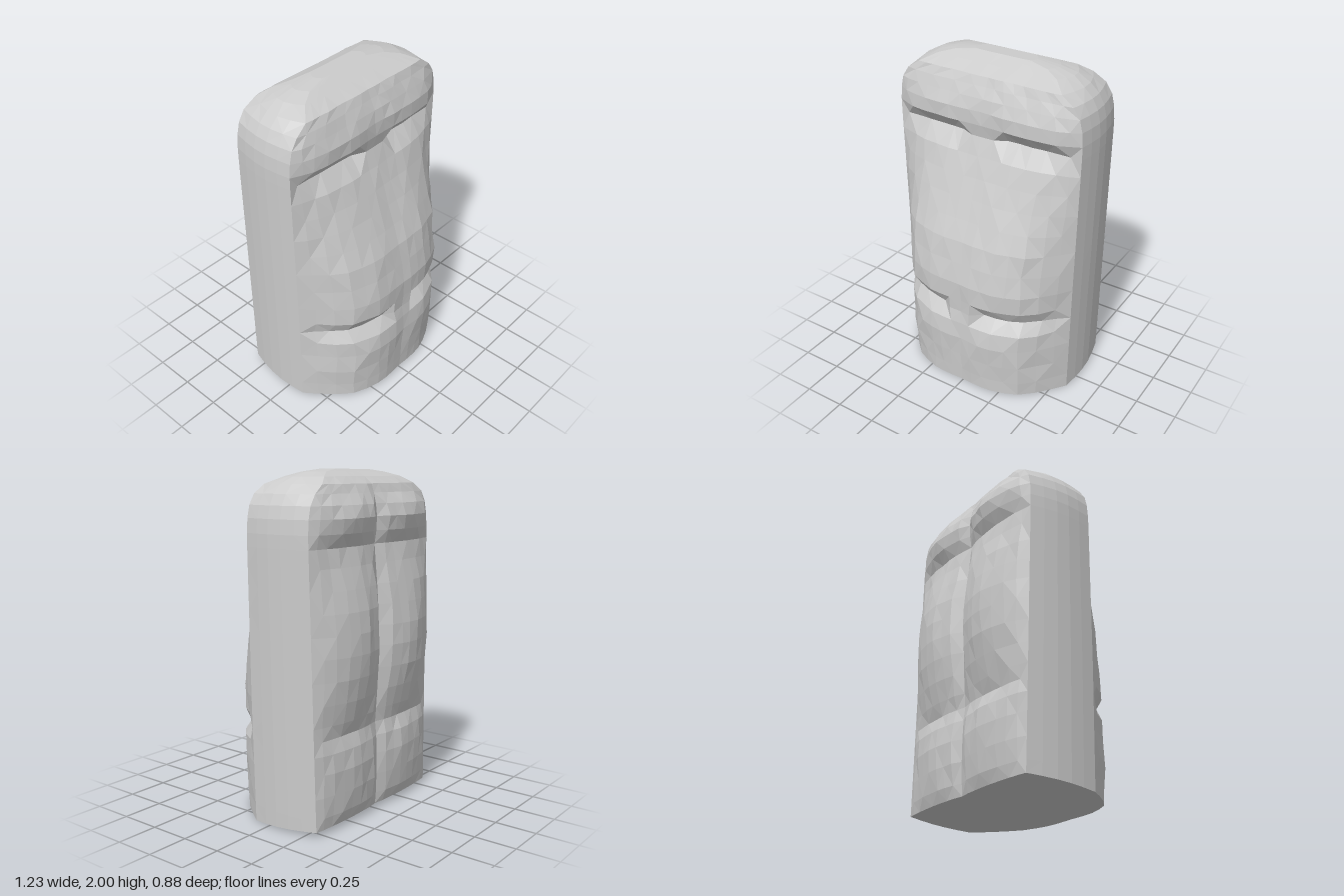
import * as THREE from 'three';

const { smoothstep } = THREE.MathUtils;

// Heights of the horizontal slices, from base to crown
const LEVELS = [0, 0.1, 0.22, 0.35, 0.46, 0.54, 0.62, 0.74, 0.87, 1, 1.12, 1.24, 1.36, 1.48,
  1.585, 1.66, 1.74, 1.81, 1.87, 1.92, 1.96, 1.985, 2];

// Side profiles: [height, z]
const FRONT = [[0, 0.425], [0.35, 0.445], [0.54, 0.426], [0.74, 0.43], [1, 0.38], [1.36, 0.246],
  [1.585, 0.172], [1.66, 0.192], [1.76, 0.19], [1.92, 0.118], [2, -0.04]];
const FRONT_EDGE = [[0, 0.11], [0.7, 0.12], [1.87, 0.12], [1.92, 0.112], [2, -0.045]];
const BACK_EDGE = [[0, -0.32], [1.87, -0.288], [1.92, -0.276], [1.96, -0.23], [2, -0.14]];

// Shapes across the half width: [fraction from centre, fraction of bulge]
const ROUND = [[0, 0.98], [0.2, 1], [0.42, 0.96], [0.65, 0.77], [0.82, 0.46], [1, 0]];
const BROW = [[0, 0.9], [0.2, 1], [0.42, 0.97], [0.7, 0.92], [0.85, 0.6], [1, 0]];
const LOBE = [[0, 0.3], [0.12, 0.7], [0.42, 1], [0.7, 0.76], [0.92, 0.3], [1, 0]];
const DENT = [[0, 0], [0.16, 0], [0.24, 1], [0.8, 1], [1, 0]];

const ACROSS = [0.12, 0.24, 0.36, 0.5, 0.64, 0.78, 0.9, 1];
const WIDTHS = [...ACROSS.map((t) => -t).reverse(), 0, ...ACROSS];
const SIDE = [0.2, 0.4, 0.6, 0.8];

function sample(curve, u) {
  let i = 1;
  while (i < curve.length - 1 && curve[i][0] < u) i++;
  const [a, b] = [curve[i - 1], curve[i]];
  return a[1] + (b[1] - a[1]) * (u - a[0]) / (b[0] - a[0]);
}

// Repeatable small unevenness for the hand-hewn facets
function rough(seed) {
  const s = Math.sin(seed * 12.9898) * 43758.5453;
  return s - Math.floor(s) - 0.5;
}

// Arched outline: nearly straight sides closing in a rounded top
function halfWidth(y) {
  const t = Math.min(Math.max((y - 1.55) / 0.45, 0), 0.995);
  return (0.59 + 0.016 * y) * (1 - t ** 3.5) ** (1 / 3.5);
}

// Depth of the back swellings: base, body and head, with creases between
function backBulge(y) {
  const arc = (from, to) => Math.sin(Math.PI * (y - from) / (to - from));
  if (y < 0.54) return 0.01 + 0.06 * arc(-0.05, 0.7);
  if (y < 1.585) return 0.035 + 0.1 * arc(0.54, 1.585);
  return 0.04 * smoothstep(2 - y, 0, 0.2) + 0.06 * Math.max(0, arc(1.585, 1.87));
}

function sliceRing(y, r) {
  const w = halfWidth(y);
  const wf = w * (0.97 - 0.08 * smoothstep(y, 1.84, 1.95));
  const wb = wf - 0.02;
  const zf = sample(FRONT_EDGE, y), zb = sample(BACK_EDGE, y);
  const frontBulge = sample(FRONT, y) - zf;
  const brow = smoothstep(y, 1.5, 1.66);
  // mouth and eye creases
  const dent = y === 0.54 ? 0.05 : y === 1.585 ? 0.04 : 0;
  const jitter = r > 0 && r < LEVELS.length - 3 ? 0.016 : 0;
  const ring = [];

  // crowned front
  WIDTHS.forEach((t, i) => {
    const u = Math.abs(t);
    const k = u === 1 ? 0 : jitter;
    const out = frontBulge * THREE.MathUtils.lerp(sample(ROUND, u), sample(BROW, u), brow);
    const cut = Math.min(dent * sample(DENT, u), Math.max(0, out));
    ring.push([wf * t + rough(r * 31 + i) * k, y, zf + out - cut + rough(r * 57 + i + 5) * k / 2]);
  });
  // bowed sides and the two-lobed, grooved back
  const side = (s, t) => [
    s * (wf + (wb - wf) * t + (w - (wf + wb) / 2) * Math.sin(Math.PI * t)), y, zf + (zb - zf) * t];
  SIDE.forEach((t) => ring.push(side(1, t)));
  WIDTHS.forEach((t, i) => {
    const u = Math.abs(t);
    const k = u === 1 || u === 0 ? 0 : jitter;
    ring.push([-wb * t + rough(r * 43 + i + 9) * k, y,
      zb - backBulge(y) * sample(LOBE, u) + rough(r * 71 + i + 2) * k / 2]);
  });
  SIDE.forEach((t) => ring.push(side(-1, 1 - t)));

  // the base rises slightly toward the front and back
  if (r === 0) ring.forEach((p) => { p[1] = Math.abs(p[2] - 0.11) * (p[2] > 0.11 ? 0.04 : 0.07); });
  return ring;
}

function buildStone() {
  const rings = LEVELS.map(sliceRing);
  const n = rings[0].length;
  const last = (rings.length - 1) * n;
  const points = rings.flat();
  const base = points.push([0, 0.004, 0.05]) - 1;
  const crown = points.push([0, 2, -0.095]) - 1;
  const index = [];
  for (let i = 0; i < n; i++) {
    const j = (i + 1) % n;
    for (let r = 0; r < rings.length - 1; r++) {
      const a = r * n + i, b = r * n + j, c = a + n, d = b + n;
      if ((r + i) % 2) index.push(a, b, d, a, d, c);
      else index.push(a, b, c, b, d, c);
    }
    // base and crown caps
    index.push(base, j, i, crown, last + i, last + j);
  }
  const geometry = new THREE.BufferGeometry();
  geometry.setAttribute('position', new THREE.Float32BufferAttribute(points.flat(), 3));
  geometry.setIndex(index);
  geometry.computeVertexNormals();
  return geometry;
}

export function createModel() {
  const model = new THREE.Group();
  model.name = 'carvedStone';
  const stone = new THREE.Mesh(buildStone(),
    new THREE.MeshStandardMaterial({ color: 0xcccccc, flatShading: true }));
  stone.name = 'stoneBody';
  model.add(stone);
  return model;
}
